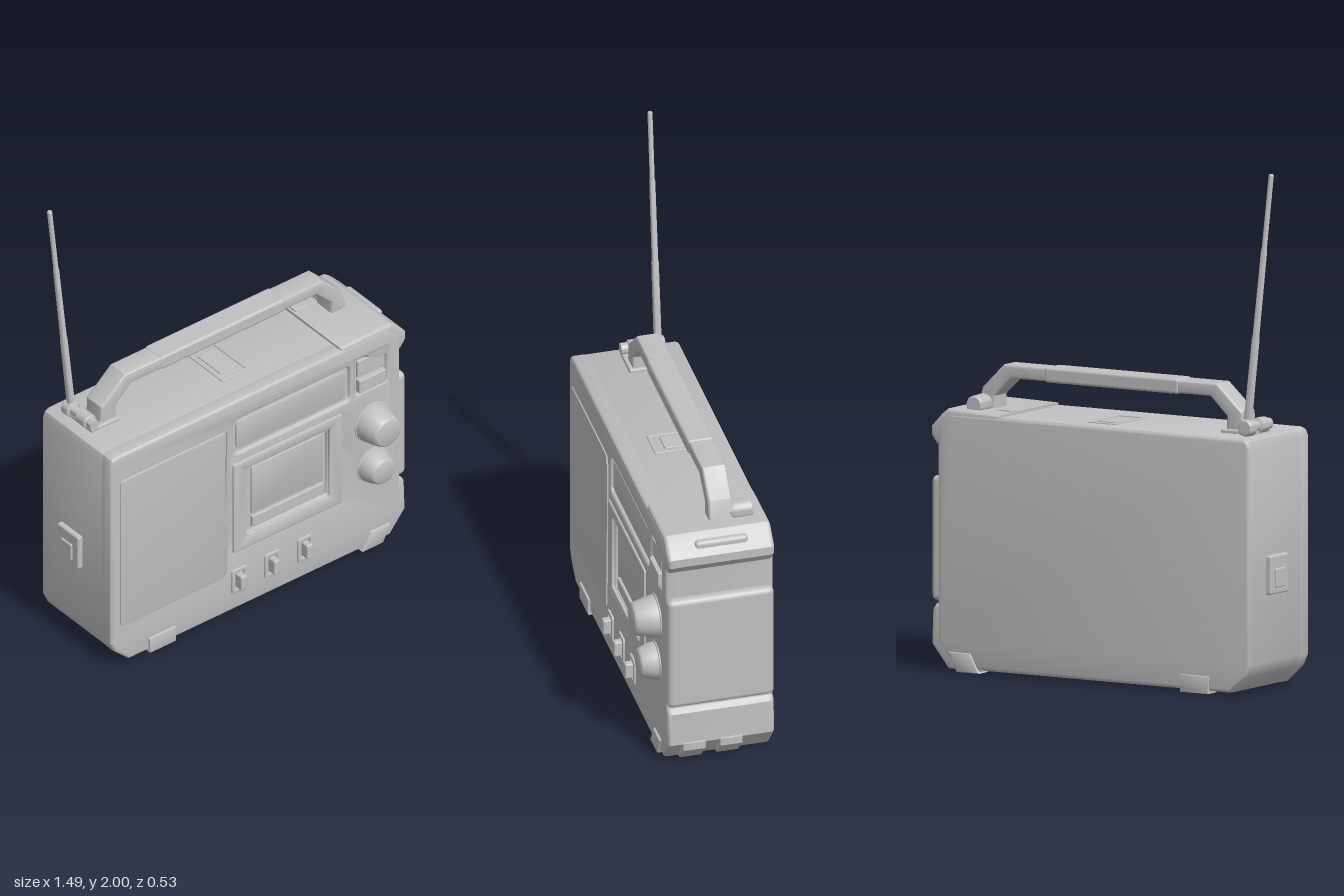
import * as THREE from 'three';
import { toCreasedNormals } from 'three/addons/utils/BufferGeometryUtils.js';
import { RoundedBoxGeometry } from 'three/addons/geometries/RoundedBoxGeometry.js';

export function createModel() {
  const root = new THREE.Group();
  root.name = 'portableRadio';
  const grey = new THREE.MeshStandardMaterial({ color: 0xc0c0c0 });
  grey.name = 'plain grey';

  function add(name, geometry) {
    const m = new THREE.Mesh(geometry, grey);
    m.name = name;
    root.add(m);
    return m;
  }
  const poly = pts => new THREE.Shape(pts.map(p => new THREE.Vector2(p[0], p[1])));

  // Rounded rectangle outline
  function rrect(x0, y0, x1, y1, r = 0.02, Type = THREE.Shape) {
    const s = new Type();
    s.moveTo(x0 + r, y0);
    s.lineTo(x1 - r, y0).quadraticCurveTo(x1, y0, x1, y0 + r);
    s.lineTo(x1, y1 - r).quadraticCurveTo(x1, y1, x1 - r, y1);
    s.lineTo(x0 + r, y1).quadraticCurveTo(x0, y1, x0, y1 - r);
    s.lineTo(x0, y0 + r).quadraticCurveTo(x0, y0, x0 + r, y0);
    return s;
  }
  // Outline in the front plane, extruded between two depths with a soft edge
  function slab(name, shape, z0, z1, bevel = 0.004, segments = 2) {
    const g = new THREE.ExtrudeGeometry(shape, {
      depth: z1 - z0 - 2 * bevel, bevelEnabled: true, bevelThickness: bevel,
      bevelSize: bevel, bevelOffset: -bevel, bevelSegments: segments, curveSegments: 4,
    });
    g.translate(0, 0, z0 + bevel);
    return add(name, toCreasedNormals(g, 0.6));
  }
  function box(name, x0, x1, y0, y1, z0, z1, r = 0.004) {
    const g = new RoundedBoxGeometry(x1 - x0, y1 - y0, z1 - z0, 2, r);
    g.translate((x0 + x1) / 2, (y0 + y1) / 2, (z0 + z1) / 2);
    return add(name, g);
  }
  // Turned part along z; profile is a list of [radius, z]
  function turned(name, x, y, z, profile) {
    const g = new THREE.LatheGeometry(profile.map(p => new THREE.Vector2(p[0], p[1])), 28);
    g.rotateX(Math.PI / 2);
    const m = add(name, toCreasedNormals(g, 0.6));
    m.position.set(x, y, z);
    return m;
  }

  // Case: a core and a front shell with openings
  const outline = d => poly([
    [-0.61 + d, 0.01 + d], [0.62 - d, 0.01 + d], [0.705 - d, 0.11 + d], [0.705 - d, 0.93 - d],
    [0.65 - d, 0.99 - d], [-0.67 + d, 0.99 - d], [-0.69 + d, 0.98 - d], [-0.7 + d, 0.955 - d],
    [-0.7 + d, 0.12 + d], [-0.68 + d, 0.075 + d],
  ]);
  slab('caseCore', outline(0.001), -0.26, 0.15, 0.014, 3);
  const shell = outline(0);
  shell.holes.push(
    rrect(-0.1, 0.74, 0.46, 0.9, 0.025, THREE.Path),
    rrect(0.49, 0.75, 0.64, 0.91, 0.01, THREE.Path),
    rrect(-0.04, 0.345, 0.35, 0.65, 0.01, THREE.Path),
  );
  slab('frontShell', shell, 0.1, 0.165, 0.012, 3);

  // Speaker cover, with its slanted rib beside it
  slab('speakerCover', rrect(-0.655, 0.185, -0.145, 0.872, 0.015), 0.155, 0.17);
  slab('speakerRib', poly([[-0.155, 0.2], [-0.14, 0.2], [-0.125, 0.62], [-0.125, 0.83], [-0.14, 0.87]]), 0.155, 0.172);

  // Tuning window and the switches next to it
  slab('tuningWindow', rrect(-0.085, 0.755, 0.445, 0.885, 0.02), 0.145, 0.157);
  box('upperSwitch', 0.5, 0.63, 0.825, 0.9, 0.14, 0.162);
  box('lowerSwitch', 0.5, 0.63, 0.757, 0.815, 0.14, 0.174);

  // Display frame and screen
  const frame = rrect(-0.11, 0.28, 0.42, 0.7, 0.012);
  frame.holes.push(rrect(-0.045, 0.34, 0.355, 0.655, 0.01, THREE.Path));
  slab('displayFrame', frame, 0.155, 0.174, 0.007);
  slab('screen', rrect(-0.01, 0.415, 0.335, 0.635, 0.006), 0.145, 0.157);
  box('screenLedge', -0.01, 0.335, 0.355, 0.405, 0.145, 0.162);

  // Tapered knobs on flat collars
  for (const [name, y, r, h] of [['tuningKnob', 0.59, 0.083, 0.1], ['volumeKnob', 0.39, 0.073, 0.075]]) {
    turned(name, 0.57, y, 0.163, [
      [r + 0.005, 0], [r + 0.005, 0.006], [r, 0.008], [r * 0.95, 0.03], [r * 0.78, h - 0.01],
      [r * 0.72, h - 0.003], [r * 0.64, h], [0, h],
    ]);
  }

  // Three push buttons in raised surrounds
  for (const x of [-0.08, 0.08, 0.24]) {
    const surround = rrect(x - 0.037, 0.09, x + 0.037, 0.2, 0.012);
    surround.holes.push(rrect(x - 0.02, 0.108, x + 0.02, 0.183, 0.005, THREE.Path));
    slab('buttonSurround', surround, 0.155, 0.174, 0.004);
    box('button', x - 0.015, x + 0.015, 0.113, 0.178, 0.16, 0.202, 0.007);
  }

  // Right side: corner bumpers, side panel and lugs
  slab('topBumper', poly([
    [0.42, 0.97], [0.42, 1.0], [0.665, 1.005], [0.69, 0.985], [0.737, 0.935], [0.737, 0.9], [0.71, 0.865], [0.6, 0.865],
  ]), -0.258, 0.163, 0.016, 3);
  box('topBumperRidge', 0.655, 0.715, 0.92, 0.985, -0.16, 0.05, 0.015).rotation.z = 0;
  box('sidePanel', 0.6, 0.737, 0.265, 0.745, -0.257, 0.163, 0.022);
  slab('bottomBumper', poly([
    [0.5, 0.006], [0.66, 0.008], [0.735, 0.1], [0.73, 0.235], [0.715, 0.255], [0.6, 0.255],
  ]), -0.258, 0.163, 0.016, 3);
  for (const z of [0.06, -0.085]) {
    slab('sideLug', poly([[0.64, 0.004], [0.68, 0.008], [0.743, 0.075], [0.743, 0.105], [0.7, 0.115]]), z - 0.045, z + 0.045, 0.006);
  }

  // Feet wrapped around the lower front and back edges
  for (const [z0, z1] of [[0.06, 0.175], [-0.267, -0.2]]) {
    slab('leftFoot', poly([[-0.515, 0], [-0.39, 0], [-0.39, 0.068], [-0.52, 0.068]]), z0, z1, 0.005);
    slab('rightFoot', poly([[0.515, 0], [0.615, 0], [0.65, 0.075], [0.555, 0.075]]), z0, z1, 0.005);
  }

  // Socket plate on the left side
  box('socketPlate', -0.72, -0.69, 0.38, 0.53, -0.14, -0.01, 0.008);
  box('socketCover', -0.727, -0.71, 0.405, 0.48, -0.11, -0.045, 0.006);

  // Carrying handle with a separate grip
  slab('handle', poly([
    [-0.59, 0.98], [-0.585, 1.07], [-0.47, 1.173], [0.49, 1.173], [0.585, 1.08], [0.61, 0.98],
    [0.53, 0.98], [0.53, 1.05], [0.455, 1.122], [-0.44, 1.122], [-0.515, 1.05], [-0.51, 0.98],
  ]), -0.131, -0.035, 0.01, 3);
  box('handleGrip', -0.3, 0.305, 1.118, 1.177, -0.134, -0.032, 0.012);
  turned('handlePivot', 0.572, 1.02, -0.21, [[0, 0], [0.03, 0], [0.036, 0.006], [0.038, 0.07], [0.03, 0.09], [0, 0.09]]);

  // Latch and small plates on top
  const latch = [[-0.055, 0.075, -0.19, -0.175], [-0.055, 0.075, 0.02, 0.035], [-0.055, -0.045, -0.19, 0.035], [0.065, 0.075, -0.19, 0.035], [-0.03, 0.05, -0.15, -0.01]];
  for (const [x0, x1, z0, z1] of latch) box('latchTrim', x0, x1, 0.98, 0.994, z0, z1, 0.003);
  box('topSwitch', 0.43, 0.495, 0.99, 1.007, -0.17, -0.13);
  box('antennaBase', -0.645, -0.5, 0.975, 1.003, -0.15, -0.02, 0.006);

  // Antenna pivot and telescopic rod
  turned('antennaPivot', -0.632, 1.02, -0.19, [
    [0, 0], [0.026, 0], [0.034, 0.008], [0.034, 0.04], [0.02, 0.046], [0.02, 0.085],
    [0.03, 0.09], [0.03, 0.14], [0.022, 0.145], [0.022, 0.172], [0, 0.172],
  ]);
  const foot = new THREE.Vector3(-0.63, 1.02, -0.165);
  const tip = new THREE.Vector3(-0.737, 2.0, -0.163);
  const direction = tip.clone().sub(foot);
  const length = direction.length();
  const rod = add('antennaRod', toCreasedNormals(new THREE.LatheGeometry([
    [0, 0], [0.016, 0], [0.015, length * 0.35], [0.013, length * 0.36], [0.012, length * 0.7],
    [0.01, length * 0.71], [0.01, length - 0.004], [0.007, length], [0, length],
  ].map(p => new THREE.Vector2(p[0], p[1])), 12), 0.6));
  rod.position.copy(foot);
  rod.quaternion.setFromUnitVectors(new THREE.Vector3(0, 1, 0), direction.normalize());

  return root;
}
